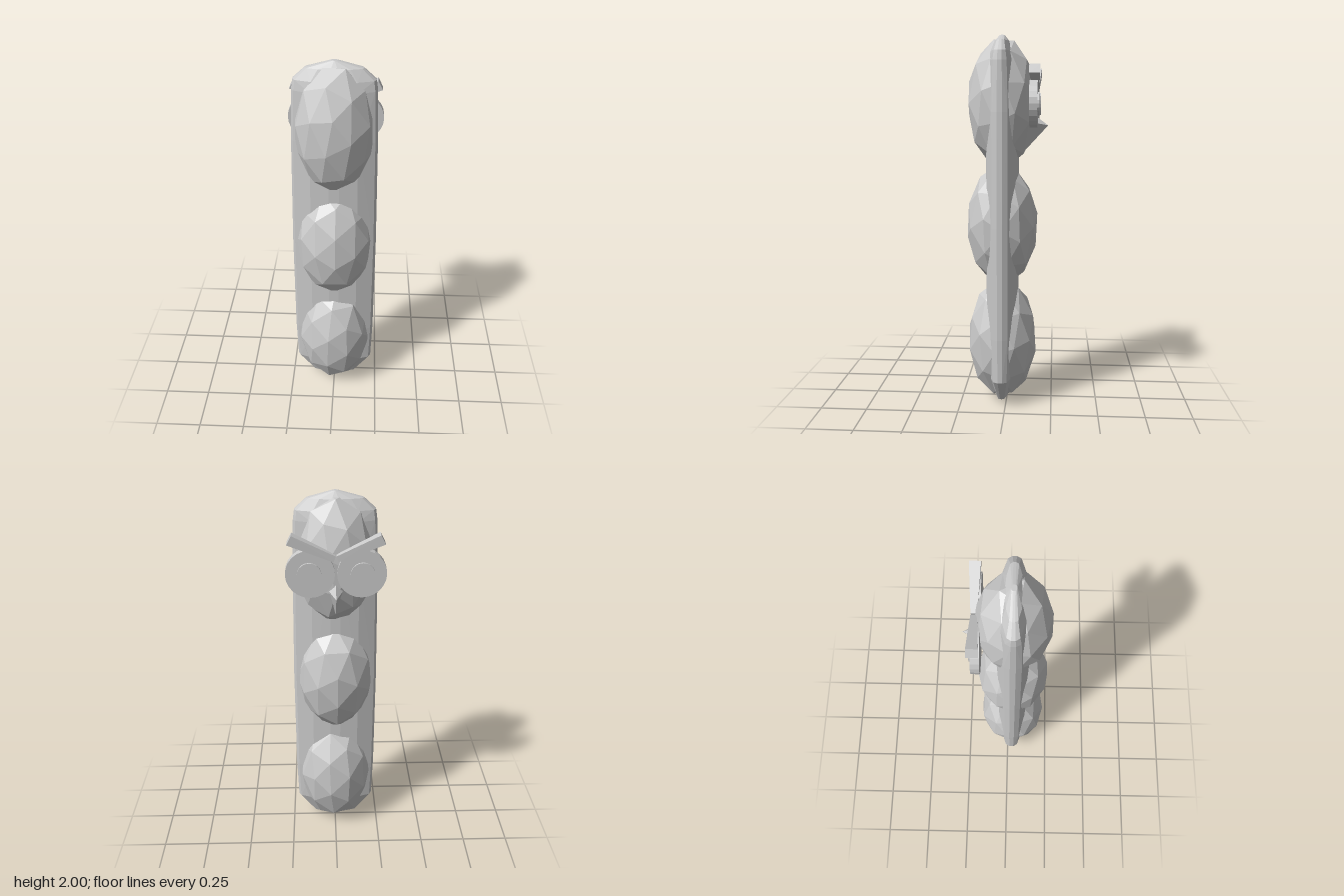
import * as THREE from 'three';
import { ConvexGeometry } from 'three/addons/geometries/ConvexGeometry.js';

const grey = new THREE.MeshStandardMaterial({ color: 0xcccccc, flatShading: true });
const V = (x, y, z) => new THREE.Vector3(x, y, z);

function add(parent, name, geometry, x = 0, y = 0, z = 0) {
  const mesh = new THREE.Mesh(geometry, grey);
  mesh.name = name;
  mesh.position.set(x, y, z);
  parent.add(mesh);
  return mesh;
}

// Flattened pod: the same lens section, scaled along the height
function podGeometry() {
  const section = [[1, 0.014], [0.94, 0.042], [0.55, 0.075], [0.12, 0.088]];
  const rows = [ // y, half width, depth factor
    [0.005, 0.03, 0.15], [0.03, 0.125, 0.4], [0.16, 0.218, 0.85], [0.4, 0.225, 1],
    [1.0, 0.225, 1], [1.6, 0.216, 1], [1.86, 0.207, 0.85], [1.91, 0.2, 0.7],
    [1.965, 0.14, 0.45], [2.0, 0.015, 0.15],
  ];
  const points = [];
  for (const [y, w, d] of rows)
    for (const [sx, z] of section)
      for (const i of [-1, 1])
        for (const k of [-1, 1]) points.push(V(i * sx * w, y, 0.025 + k * z * d));
  return new ConvexGeometry(points);
}

// Coarse faceted pea, turned before stretching so that each one differs
function peaGeometry(turn, rx, ry, rz) {
  const g = new THREE.IcosahedronGeometry(1, 1);
  g.rotateX(turn * 0.35);
  g.rotateY(turn);
  g.scale(rx, ry, rz);
  return g;
}

// Tapered brow slanting down to the middle
function browGeometry(s) {
  const points = [];
  for (const z of [-0.125, -0.18]) points.push(V(s * 0.235, 1.795, z), V(s * 0.212, 1.84, z));
  for (const z of [-0.14, -0.17]) points.push(V(s * 0.012, 1.705, z), V(s * 0.002, 1.735, z));
  return new ConvexGeometry(points);
}

export function createModel() {
  const model = new THREE.Group();
  model.name = 'peaPod';

  add(model, 'pod', podGeometry());

  // Three peas bulging out of both faces of the pod
  const peas = [
    ['lowerPea', 0.345, 0.4, 0.209, 0.34, 0.193],
    ['middlePea', 0.99, 1.1, 0.21, 0.335, 0.195],
    ['upperPea', 1.645, 2.0, 0.207, 0.347, 0.188],
  ];
  for (const [name, y, turn, rx, ry, rz] of peas)
    add(model, name, peaGeometry(turn, rx, ry, rz), 0, y, 0.026);

  // Face on the rear side
  const face = new THREE.Group();
  face.name = 'face';
  model.add(face);
  const eye = new THREE.CylinderGeometry(0.121, 0.121, 0.042, 24).rotateX(Math.PI / 2);
  const pupil = new THREE.CylinderGeometry(0.06, 0.06, 0.03, 20).rotateX(Math.PI / 2);
  for (const [side, s] of [['left', 1], ['right', -1]]) {
    add(face, side + 'Eye', eye, s * 0.126, 1.643, -0.146);
    add(face, side + 'Pupil', pupil, s * 0.13, 1.643, -0.162);
    add(face, side + 'Brow', browGeometry(s));
  }

  // Pointed beak
  add(face, 'beak', new ConvexGeometry([
    V(0, 1.59, -0.14), V(0.045, 1.55, -0.12), V(-0.045, 1.55, -0.12),
    V(0, 1.53, -0.22), V(0, 1.4, -0.1), V(0, 1.54, -0.08),
  ]));
  return model;
}
